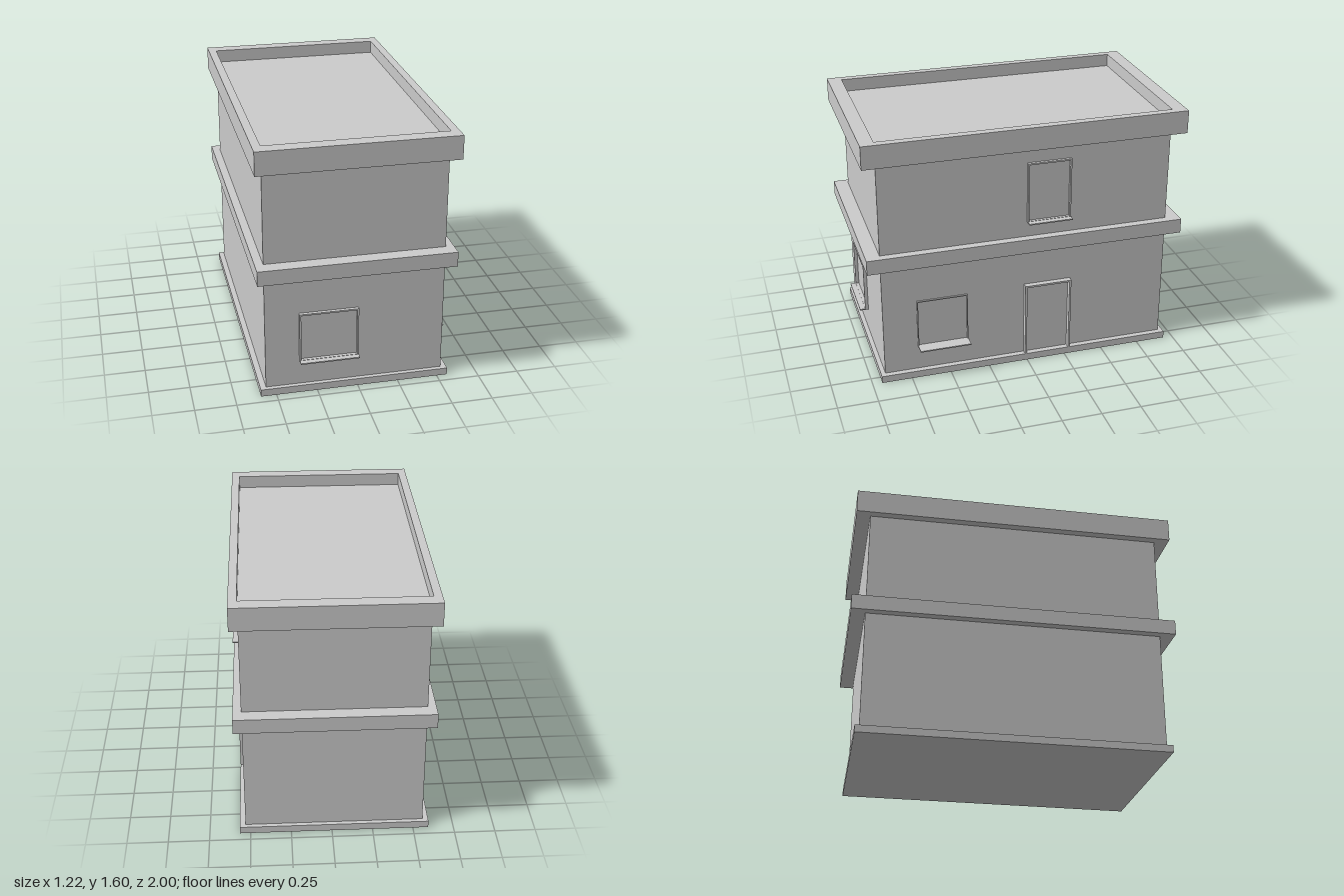
import * as THREE from 'three';

const CX = -0.015; // the house body sits slightly right of the sill overhang
const material = new THREE.MeshStandardMaterial({ color: 0xcccccc, flatShading: true });

function mesh(name, geometry) {
  const m = new THREE.Mesh(geometry, material);
  m.name = name;
  return m;
}

// Box given by its width, depth and vertical extent, centred on the house axis
function slab(name, w, d, y0, y1) {
  const m = mesh(name, new THREE.BoxGeometry(w, y1 - y0, d));
  m.position.set(CX, (y0 + y1) / 2, 0);
  return m;
}

function rect(target, x0, y0, x1, y1) {
  target.moveTo(x0, y0);
  target.lineTo(x1, y0);
  target.lineTo(x1, y1);
  target.lineTo(x0, y1);
  target.closePath();
  return target;
}

// Rectangular ring extruded along +z
function ring(w, h, bx, by, depth, openBottom = false) {
  const shape = rect(new THREE.Shape(), -w / 2, 0, w / 2, h);
  if (openBottom) {
    const s = new THREE.Shape();
    [[-w / 2, 0], [-w / 2 + bx, 0], [-w / 2 + bx, h - by], [w / 2 - bx, h - by],
      [w / 2 - bx, 0], [w / 2, 0], [w / 2, h], [-w / 2, h]]
      .forEach(([x, y], i) => (i ? s.lineTo(x, y) : s.moveTo(x, y)));
    return new THREE.ExtrudeGeometry(s, { depth, bevelEnabled: false });
  }
  shape.holes.push(rect(new THREE.Path(), -w / 2 + bx, by, w / 2 - bx, h - by));
  return new THREE.ExtrudeGeometry(shape, { depth, bevelEnabled: false });
}

// Framed opening facing +z, with an optional projecting sill
function opening(name, { w, h, depth, sill = 0, border = 0.01 }) {
  const g = new THREE.Group();
  g.name = name;
  g.add(mesh(name + 'Frame', ring(w, h, border, border, depth, !sill)));
  if (sill) {
    const s = mesh(name + 'Sill', new THREE.BoxGeometry(w, 0.008, sill));
    s.position.set(0, 0.004, sill / 2);
    g.add(s);
  }
  return g;
}

export function createModel() {
  const house = new THREE.Group();
  house.name = 'house';

  // Plinth, storeys, floor band and flat roof
  house.add(
    slab('plinth', 1.16, 1.88, 0, 0.045),
    slab('groundFloor', 1.09, 1.825, 0.045, 0.775),
    slab('floorBand', 1.19, 2, 0.775, 0.868),
    slab('upperFloor', 1.09, 1.825, 0.868, 1.45),
    slab('roofSlab', 1.19, 2, 1.45, 1.515),
  );

  // Parapet around the roof
  const parapet = mesh('parapet', ring(1.19, 2, 0.05, 0.087, 0.08));
  parapet.rotation.x = -Math.PI / 2;
  parapet.position.set(CX, 1.515, 1);
  house.add(parapet);

  // Front window
  const front = opening('frontWindow', { w: 0.36, h: 0.32, depth: 0.021, sill: 0.055 });
  front.position.set(-0.175, 0.205, 0.9125);
  house.add(front);

  // Openings in the +x wall
  const side = [
    ['sideWindow', 0.54, 0.205, { w: 0.32, h: 0.32, depth: 0.011, sill: 0.08, border: 0.007 }],
    ['upperWindow', -0.138, 0.965, { w: 0.275, h: 0.39, depth: 0.018, sill: 0.053 }],
    ['door', -0.135, 0.045, { w: 0.3, h: 0.49, depth: 0.035, border: 0.012 }],
  ];
  for (const [name, z, y, size] of side) {
    const o = opening(name, size);
    o.rotation.y = Math.PI / 2;
    o.position.set(0.53, y, z);
    house.add(o);
  }
  return house;
}
